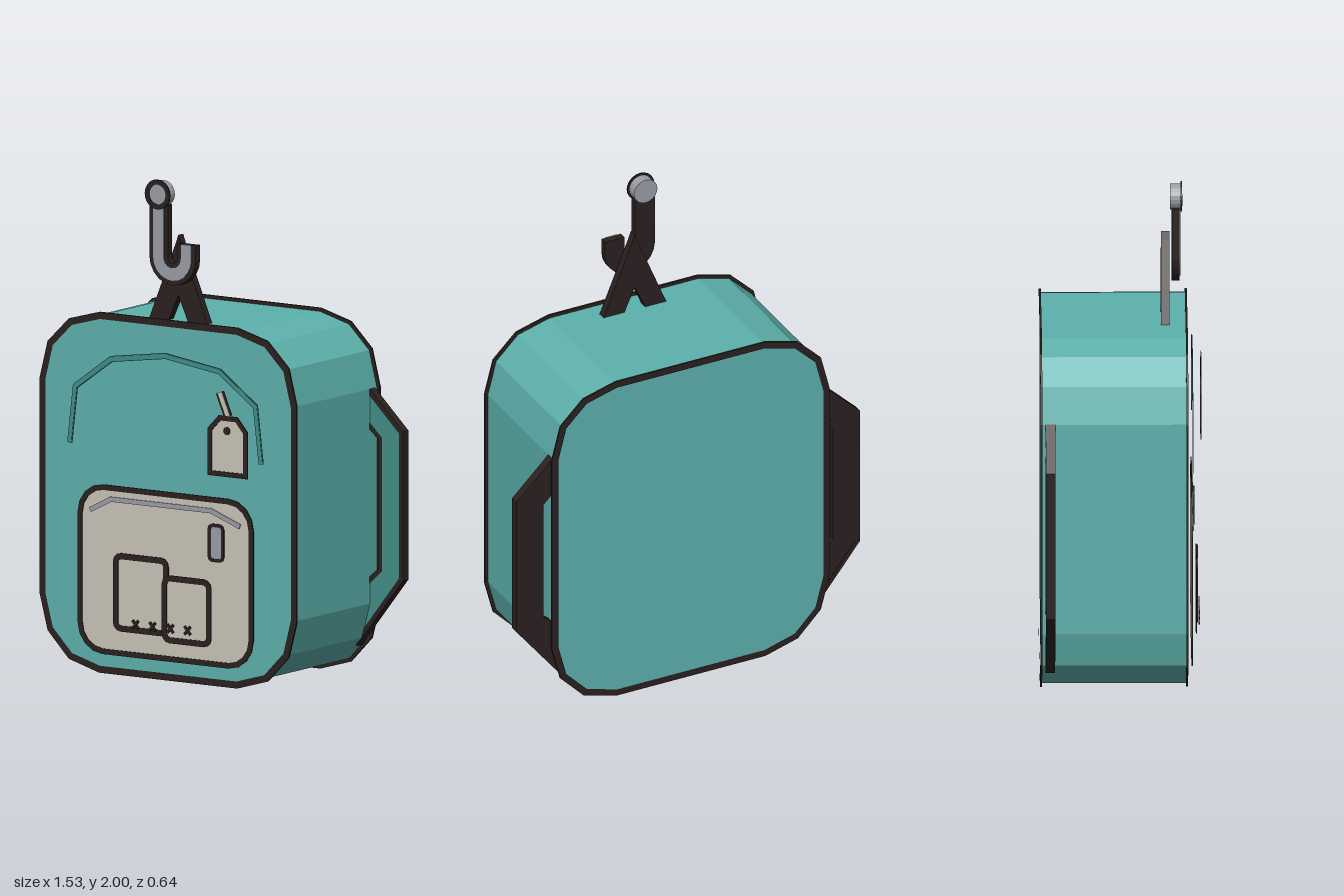
import * as THREE from 'three';

const material = (name, color) => {
  const m = new THREE.MeshStandardMaterial({ color });
  m.name = name;
  return m;
};
const V = (x, y) => new THREE.Vector2(x, y);
const toPoints = list => list.map(([x, y]) => V(x, y));

// Shift a polyline sideways by d with mitred corners
function offset(pts, d, closed) {
  const n = pts.length;
  const normal = (a, b) => V(a.y - b.y, b.x - a.x).normalize();
  return pts.map((p, i) => {
    const before = closed || i > 0 ? normal(pts[(i + n - 1) % n], p) : null;
    const after = closed || i < n - 1 ? normal(p, pts[(i + 1) % n]) : null;
    const a = before || after, b = after || before;
    const m = a.clone().add(b).normalize();
    return p.clone().addScaledVector(m, d / Math.max(0.35, m.dot(a)));
  });
}

// Stroke of constant width along a polyline, or a ring around a closed outline
function stroke(pts, width, closed = false) {
  const a = offset(pts, width / 2, closed), b = offset(pts, -width / 2, closed);
  if (!closed) return new THREE.Shape([...a, ...b.reverse()]);
  const aOuter = Math.abs(THREE.ShapeUtils.area(a)) > Math.abs(THREE.ShapeUtils.area(b));
  const shape = new THREE.Shape(aOuter ? a : b);
  shape.holes.push(new THREE.Path(aOuter ? b : a));
  return shape;
}

// Rectangle with faceted round corners
function roundRect(x0, y0, x1, y1, r, n) {
  const pts = [];
  [[x1 - r, y1 - r], [x0 + r, y1 - r], [x0 + r, y0 + r], [x1 - r, y0 + r]].forEach(([cx, cy], q) => {
    for (let i = 0; i <= n; i++) {
      const a = (q + i / n) * Math.PI / 2;
      pts.push(V(cx + r * Math.cos(a), cy + r * Math.sin(a)));
    }
  });
  return pts;
}

const circle = (cx, cy, r, n = 20) => Array.from({ length: n }, (_, i) =>
  V(cx + r * Math.cos(i / n * 2 * Math.PI), cy + r * Math.sin(i / n * 2 * Math.PI)));

export function createModel() {
  const teal = material('teal fabric', 0x5db1ac);
  const deepTeal = material('deep teal', 0x418d87);
  const seamTeal = material('seam teal', 0x2e6e69);
  const dark = material('dark trim', 0x2a2120);
  const cream = material('cream', 0xcac4b7);
  const grey = material('metal grey', 0x9a9da5);
  const model = new THREE.Group();

  // Extruded slab from z0 to z1
  const slab = (parent, name, shape, mat, z0, z1) => {
    const geo = new THREE.ExtrudeGeometry(shape, { depth: z1 - z0, bevelEnabled: false });
    geo.translate(0, 0, z0);
    const mesh = new THREE.Mesh(geo, mat);
    mesh.name = name;
    parent.add(mesh);
  };
  // Thin filled panel with a dark border
  const panel = (parent, name, pts, width, fill, z) => {
    slab(parent, name, new THREE.Shape(pts), fill, z, z + 0.002);
    slab(parent, name + 'Border', stroke(pts, width, true), dark, z, z + 0.005);
  };
  const group = name => {
    const g = new THREE.Group();
    g.name = name;
    model.add(g);
    return g;
  };

  // Body with chamfered corners and a dark rim on the front and back
  const body = group('body');
  const corner = [[0.33, 1.433], [0.47, 1.395], [0.567, 1.3], [0.604, 1.155],
    [0.604, 0.295], [0.567, 0.155], [0.47, 0.055], [0.33, 0.015]];
  const outline = toPoints([...corner, ...corner.map(([x, y]) => [-x, y]).reverse()]);
  slab(body, 'bag', new THREE.Shape(outline), teal, -0.318, 0.258);
  slab(body, 'frontRim', stroke(outline, 0.028, true), dark, 0.254, 0.262);
  slab(body, 'backRim', stroke(outline, 0.028, true), dark, -0.323, -0.315);

  // Shoulder straps, mirrored, with teal front faces
  for (const [side, name] of [[1, 'leftStrap'], [-1, 'rightStrap']]) {
    const strap = group(name);
    const pts = toPoints([[0.55, 1.195], [0.755, 0.995], [0.755, 0.405], [0.55, 0.145],
      [0.55, 0.34], [0.655, 0.435], [0.655, 0.96], [0.55, 1.06]].map(([x, y]) => [side * x, y]));
    slab(strap, 'strapBand', new THREE.Shape(pts), dark, -0.3, -0.27);
    slab(strap, 'strapFace', new THREE.Shape(pts), deepTeal, -0.27, -0.267);
    slab(strap, 'strapEdge', stroke(pts, 0.02, true), dark, -0.302, -0.264);
  }

  // Curved seam on the upper front
  const seam = group('seam');
  const arc = toPoints([[-0.46, 0.915], [-0.433, 1.143], [-0.26, 1.268], [0, 1.305],
    [0.26, 1.268], [0.433, 1.143], [0.46, 0.915]]);
  slab(seam, 'seamEdge', stroke(arc, 0.024), seamTeal, 0.279, 0.281);
  slab(seam, 'seamLine', stroke(arc, 0.017), deepTeal, 0.28, 0.283);

  // Front pocket with zip and pull
  const pocket = group('frontPocket');
  panel(pocket, 'pocketPanel', roundRect(-0.411, 0.092, 0.411, 0.75, 0.11, 4), 0.022, cream, 0.276);
  slab(pocket, 'zip', stroke(toPoints([[-0.36, 0.655], [-0.26, 0.706], [0.22, 0.706], [0.36, 0.655]]), 0.02),
    grey, 0.281, 0.285);
  panel(pocket, 'zipPull', roundRect(0.217, 0.51, 0.281, 0.65, 0.015, 2), 0.013, grey, 0.287);

  // Two overlapping patches and a row of cross stitches
  const patches = group('patches');
  panel(patches, 'largePatch', roundRect(-0.228, 0.195, 0.014, 0.485, 0.025, 3), 0.024, cream, 0.294);
  panel(patches, 'smallPatch', roundRect(0.011, 0.172, 0.224, 0.42, 0.025, 3), 0.024, cream, 0.3);
  for (const x of [-0.125, -0.043, 0.043, 0.125]) {
    for (const s of [1, -1]) {
      slab(patches, 'stitch', stroke([V(x - 0.014, 0.22 - s * 0.016), V(x + 0.014, 0.22 + s * 0.016)], 0.011),
        dark, 0.306, 0.311);
    }
  }

  // Hanging tag with cord and eyelet
  const tag = group('tag');
  panel(tag, 'tagCard', toPoints([[0.239, 0.866], [0.411, 0.866], [0.411, 1.04],
    [0.368, 1.09], [0.287, 1.09], [0.239, 1.04]]), 0.02, cream, 0.315);
  slab(tag, 'eyelet', new THREE.Shape(circle(0.321, 1.04, 0.016, 12)), dark, 0.316, 0.32);
  const cord = [V(0.287, 1.192), V(0.327, 1.098)];
  slab(tag, 'cordEdge', stroke(cord, 0.04), dark, 0.315, 0.317);
  slab(tag, 'cord', stroke(cord, 0.02), cream, 0.316, 0.319);

  // Loop holding the hook
  const loop = new THREE.Shape(toPoints([[-0.143, 1.425], [-0.05, 1.425], [0, 1.535], [0.05, 1.425],
    [0.143, 1.425], [0.012, 1.745], [0, 1.778], [-0.012, 1.745]]));
  slab(model, 'hangingLoop', loop, dark, 0.157, 0.191);

  // Hook with a round end
  const hook = group('hook');
  const path = [V(-0.067, 1.9)];
  for (let i = 0; i <= 10; i++) {
    const a = Math.PI * (1 + i / 10);
    path.push(V(0.067 * Math.cos(a), 1.692 + 0.067 * Math.sin(a)));
  }
  path.push(V(0.067, 1.75));
  slab(hook, 'hookBody', stroke(path, 0.088), dark, 0.2, 0.231);
  slab(hook, 'hookFace', stroke(path, 0.05), grey, 0.23, 0.234);
  slab(hook, 'hookKnob', new THREE.Shape(circle(-0.067, 1.94, 0.052)), grey, 0.193, 0.238);
  slab(hook, 'hookKnobRim', stroke(circle(-0.067, 1.94, 0.05), 0.02, true), dark, 0.235, 0.241);

  return model;
}
